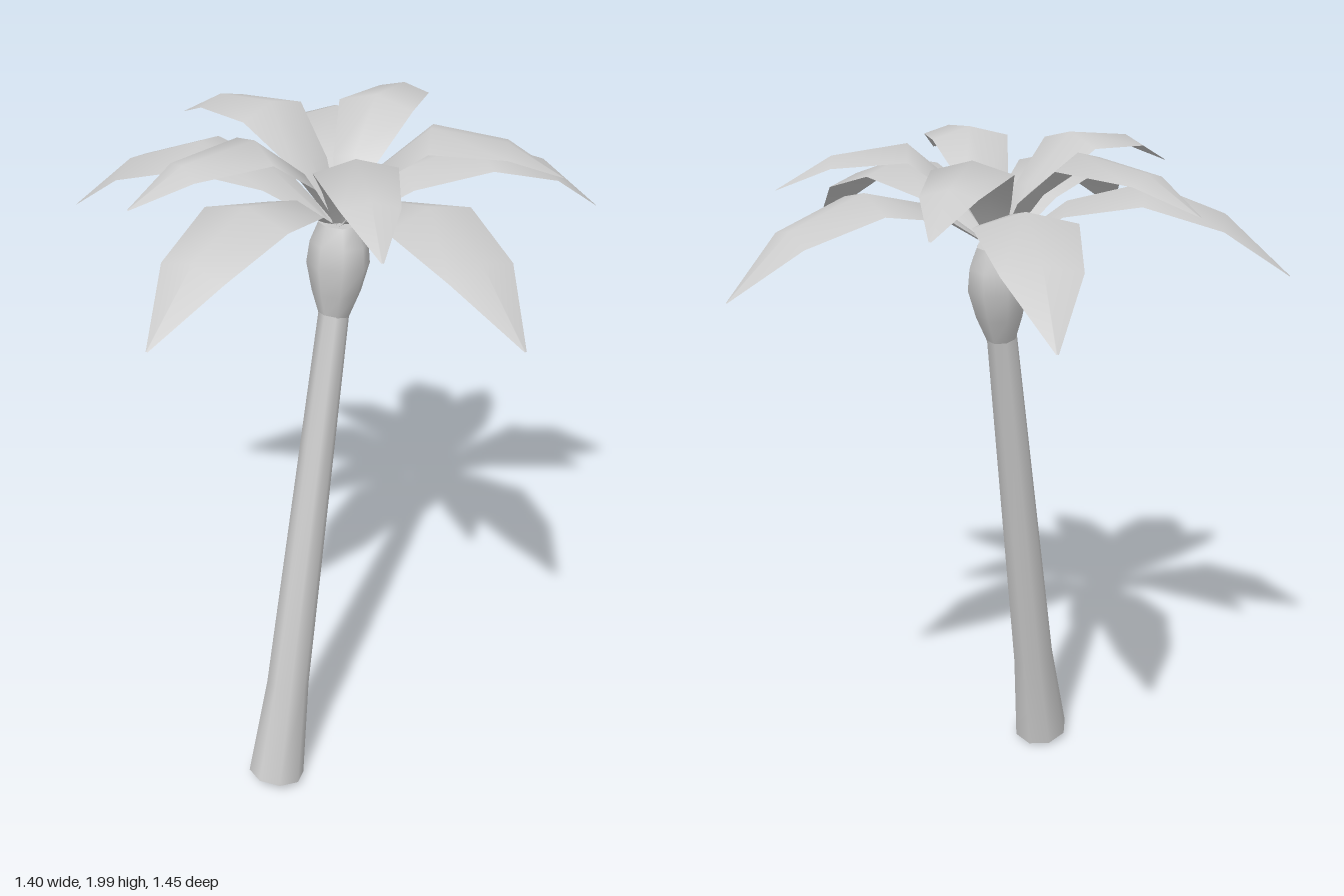
import * as THREE from 'three';

const material = new THREE.MeshStandardMaterial({ color: 0xcccccc });
const leafMaterial = new THREE.MeshStandardMaterial({ color: 0xcccccc, side: THREE.DoubleSide });
const SIDES = 8;

// Skin a row of tilted rings: [x, y, z, radius, tilt]
function loft(name, rings) {
  const group = new THREE.Group();
  group.name = name;
  const geometry = new THREE.CylinderGeometry(1, 1, 1, SIDES, rings.length - 1, true);
  const pos = geometry.attributes.position;
  const v = new THREE.Vector3();
  const axis = new THREE.Vector3(0, 0, 1);
  const last = rings.length - 1;
  for (let i = 0; i < pos.count; i++) {
    // cylinder rows run from top to bottom
    const [x, y, z, r, tilt] = rings[last - Math.floor(i / (SIDES + 1))];
    v.set(pos.getX(i) * r, 0, pos.getZ(i) * r).applyAxisAngle(axis, -tilt);
    pos.setXYZ(i, v.x + x, v.y + y, v.z + z);
  }
  geometry.computeVertexNormals();
  // share normals across the seam
  const n = geometry.attributes.normal;
  for (let row = 0; row <= last; row++) {
    const a = row * (SIDES + 1), b = a + SIDES;
    v.set(n.getX(a) + n.getX(b), n.getY(a) + n.getY(b), n.getZ(a) + n.getZ(b)).normalize();
    n.setXYZ(a, v.x, v.y, v.z);
    n.setXYZ(b, v.x, v.y, v.z);
  }
  const side = new THREE.Mesh(geometry, material);
  side.name = name + 'Side';
  group.add(side);
  // end caps
  for (const [ring, up] of [[rings[0], -1], [rings[last], 1]]) {
    const [x, y, z, r, tilt] = ring;
    const cap = new THREE.Mesh(new THREE.CircleGeometry(r, SIDES).rotateX(-up * Math.PI / 2), material);
    cap.name = name + 'Cap';
    cap.position.set(x, y, z);
    cap.rotation.z = -tilt;
    group.add(cap);
  }
  return group;
}

// Arched leaf along +z; sections are [distance, height, half width, edge drop]
function leafGeometry(sections) {
  const geometry = new THREE.PlaneGeometry(1, 1, 2, sections.length - 1);
  const pos = geometry.attributes.position;
  for (let i = 0; i < pos.count; i++) {
    const [d, h, w, drop] = sections[Math.floor(i / 3)];
    const s = (i % 3) - 1;
    pos.setXYZ(i, s * w, h - Math.abs(s) * drop, d);
  }
  geometry.computeVertexNormals();
  return geometry;
}

export function createModel() {
  const model = new THREE.Group();
  model.name = 'palmTree';

  // leaning trunk with a flared foot
  model.add(loft('trunk', [
    [-0.285, 0.025, 0.037, 0.084, 0.23],
    [-0.214, 0.33, 0.03, 0.063, 0.23],
    [0.042, 1.47, 0.004, 0.043, 0.2],
  ]));

  // swollen crown
  model.add(loft('crown', [
    [0.042, 1.46, 0.004, 0.043, 0.2],
    [0.053, 1.53, 0.003, 0.068, 0.12],
    [0.062, 1.61, 0.002, 0.087, 0.1],
    [0.067, 1.67, 0.001, 0.08, 0.1],
    [0.07, 1.725, 0, 0.058, 0.08],
  ]));

  // two tiers of leaves, placed by their tips [x, z]
  const tiers = [
    {
      name: 'lowerLeaf', length: 0.765,
      sections: [[0, 1.71, 0.012, 0.003], [0.18, 1.85, 0.085, 0.025], [0.385, 1.905, 0.132, 0.035],
        [0.59, 1.83, 0.1, 0.025], [0.765, 1.67, 0.003, 0.001]],
      tips: [[-0.7, 0.01], [-0.19, -0.73], [0.675, -0.475], [0.695, 0.43], [-0.155, 0.72]],
    },
    {
      name: 'upperLeaf', length: 0.59,
      sections: [[0, 1.71, 0.01, 0.003], [0.1, 1.88, 0.062, 0.02], [0.24, 1.998, 0.108, 0.03],
        [0.44, 1.968, 0.074, 0.02], [0.59, 1.88, 0.003, 0.001]],
      tips: [[0.13, -0.595], [0.645, -0.13], [0.365, 0.5], [-0.33, 0.425], [-0.47, -0.25]],
    },
  ];
  const rootX = 0.065;
  for (const { name, length, sections, tips } of tiers) {
    const geometry = leafGeometry(sections);
    tips.forEach(([x, z], i) => {
      const leaf = new THREE.Mesh(geometry, leafMaterial);
      leaf.name = name + (i + 1);
      leaf.position.x = rootX;
      leaf.rotation.y = Math.atan2(x - rootX, z);
      leaf.scale.z = Math.hypot(x - rootX, z) / length;
      model.add(leaf);
    });
  }
  return model;
}
